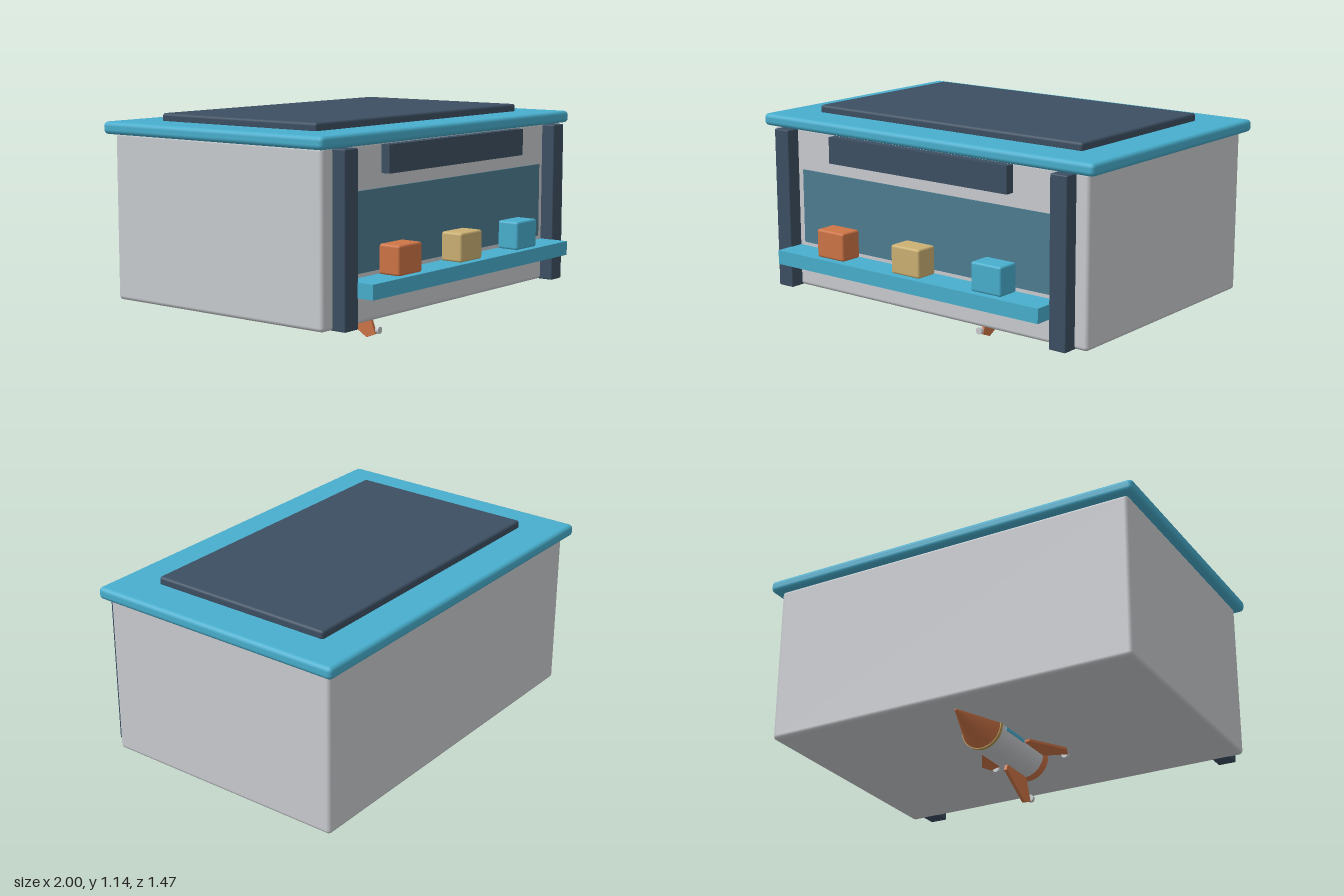
import * as THREE from 'three';
import { RoundedBoxGeometry } from 'three/addons/geometries/RoundedBoxGeometry.js';

const mat = (name, color) => {
  const m = new THREE.MeshStandardMaterial({ color });
  m.name = name;
  return m;
};

export function createModel() {
  const white = mat('paleGrey', 0xc9ccd0);
  const blue = mat('skyBlue', 0x48aecd);
  const slate = mat('slate', 0x3c4f62);
  const orange = mat('copperOrange', 0xcd7446);
  const sand = mat('sand', 0xcbb072);
  const glass = mat('tealGlass', 0x4d7c90);
  const gold = mat('brass', 0xb8964f);
  orange.side = THREE.DoubleSide;

  const model = new THREE.Group();
  model.name = 'kiosk';

  const add = (parent, name, geometry, material) => {
    const mesh = new THREE.Mesh(geometry, material);
    mesh.name = name;
    parent.add(mesh);
    return mesh;
  };
  // Box given by its limits on each axis, with softened edges when r > 0
  const box = (name, material, [x0, x1], [y0, y1], [z0, z1], r = 0) => {
    const size = [x1 - x0, y1 - y0, z1 - z0];
    const g = r ? new RoundedBoxGeometry(...size, 3, r) : new THREE.BoxGeometry(...size);
    const mesh = add(model, name, g, material);
    mesh.position.set((x0 + x1) / 2, (y0 + y1) / 2, (z0 + z1) / 2);
    return mesh;
  };

  // Stall body and roof
  box('body', white, [-0.957, 0.957], [0.242, 1.05], [-0.697, 0.582], 0.02);
  box('roof', blue, [-1, 1], [1.04, 1.1], [-0.737, 0.617], 0.022);
  box('roofPanel', slate, [-0.8, 0.8], [1.09, 1.137], [-0.54, 0.417], 0.014);

  // Front: posts, sign, window, counter
  for (const s of [-1, 1]) {
    const x = s * 0.842;
    box(s > 0 ? 'leftPost' : 'rightPost', slate, [x - 0.046, x + 0.046], [0.242, 1.04], [0.56, 0.652], 0.006);
  }
  box('signBoard', slate, [-0.543, 0.543], [0.905, 1.035], [0.57, 0.628]);
  box('window', glass, [-0.76, 0.76], [0.472, 0.84], [0.582, 0.59]);
  box('counter', blue, [-0.8, 0.8], [0.382, 0.452], [0.57, 0.737]);

  // Goods on the counter
  [[-0.48, orange], [0, sand], [0.48, blue]].forEach(([x, m], i) =>
    box('goods' + (i + 1), m, [x - 0.087, x + 0.087], [0.45, 0.59], [0.585, 0.702], 0.012));

  // Rocket half sunk into the underside, nose pointing back
  const rocket = new THREE.Group();
  rocket.name = 'rocket';
  rocket.position.y = 0.238;
  model.add(rocket);

  // Round section from z0 (radius r0) forward to z1 (radius r1)
  const section = (name, material, z0, r0, z1, r1, open = false) => {
    const g = new THREE.CylinderGeometry(r1, r0, z1 - z0, 40, 1, open);
    g.rotateX(Math.PI / 2);
    add(rocket, name, g, material).position.z = (z0 + z1) / 2;
  };
  section('hull', white, -0.33, 0.104, 0.13, 0.104);
  section('tailBand', orange, 0.08, 0.107, 0.131, 0.107, true);
  section('noseCollar', gold, -0.341, 0.107, -0.323, 0.107);
  section('nozzle', slate, 0.125, 0.075, 0.19, 0.053);
  section('noseCone', orange, -0.579, 0.004, -0.338, 0.104);

  // Swept fins with a small pod ahead of each tip
  const outline = [[0.087, 0.09], [0.087, 0.103], [0.13, 0.216], [0.075, 0.238], [-0.107, 0.131], [-0.1, 0.09]];
  const finShape = new THREE.Shape(outline.map(([z, r]) => new THREE.Vector2(z, -r)));
  for (let i = 0; i < 4; i++) {
    const fin = new THREE.Group();
    fin.name = 'fin' + (i + 1);
    fin.rotation.z = i * Math.PI / 2;
    rocket.add(fin);
    const g = new THREE.ExtrudeGeometry(finShape, { depth: 0.016, bevelEnabled: false });
    g.translate(0, 0, -0.008).rotateY(-Math.PI / 2);
    add(fin, 'finBlade', g, orange);
    const pod = new THREE.CylinderGeometry(0.018, 0.018, 0.018, 16).rotateX(Math.PI / 2);
    add(fin, 'finPod', pod, white).position.set(0, -0.194, 0.146);
  }

  // Side stripes on the hull
  for (const s of [-1, 1]) {
    const stripe = add(rocket, s > 0 ? 'leftStripe' : 'rightStripe',
      new THREE.BoxGeometry(0.008, 0.026, 0.175), blue);
    stripe.position.set(s * 0.103, 0, -0.197);
  }

  return model;
}
